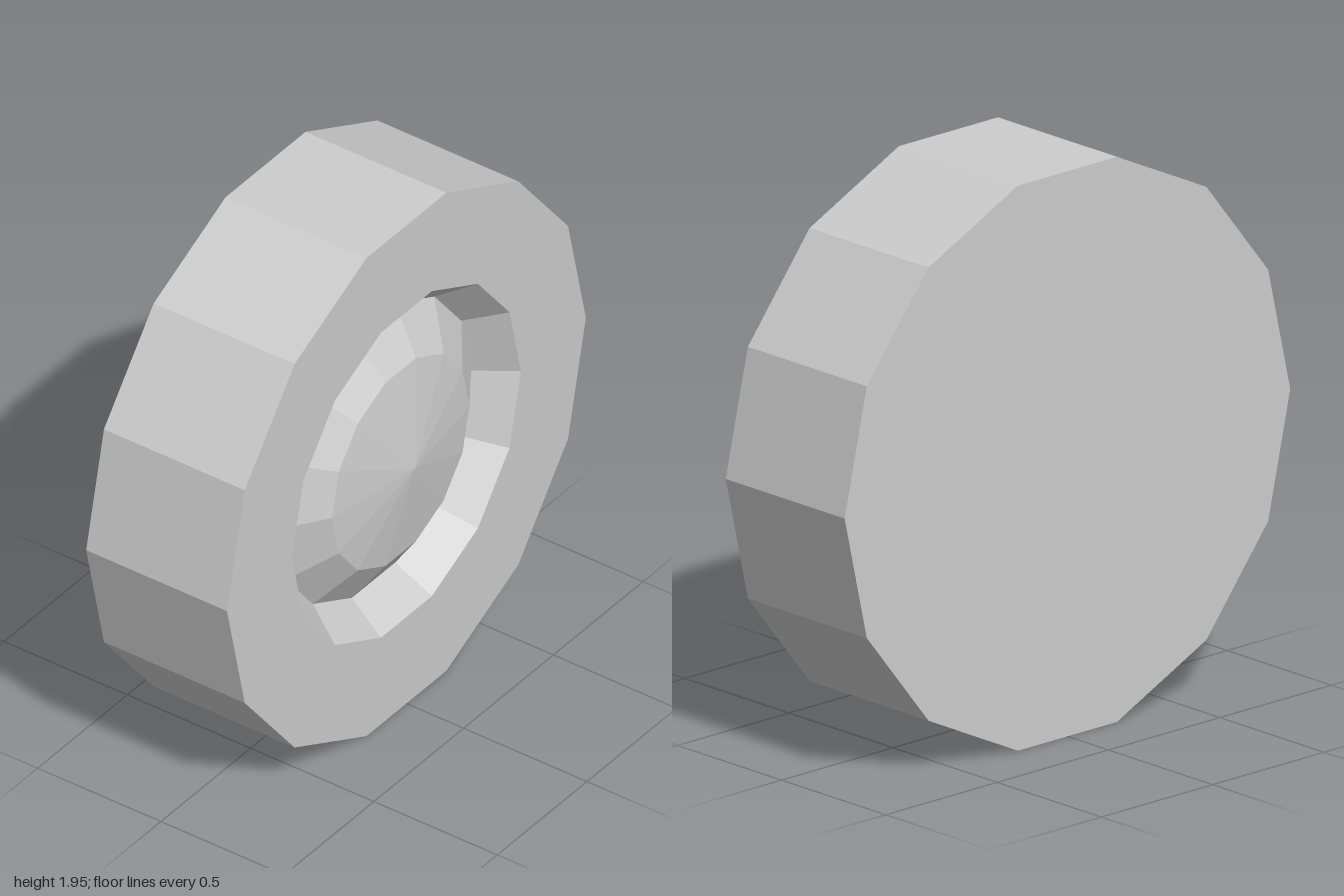
import * as THREE from 'three';

const SIDES = 14;
const RADIUS = 1;
const FACE = 0.268; // x of the outer side face
const BACK = -0.303; // x of the closed side

export function createModel() {
  const grey = new THREE.MeshStandardMaterial({ color: 0xcccccc, flatShading: true });
  grey.name = 'light grey';

  const wheel = new THREE.Group();
  wheel.name = 'wheel';

  // Revolves [radius, x] pairs, listed from the closed side outwards
  const addTurned = (name, profile) => {
    const points = profile.map(([r, x]) => new THREE.Vector2(r, x));
    const geometry = new THREE.LatheGeometry(points, SIDES);
    geometry.rotateZ(-Math.PI / 2); // turning axis along x
    const mesh = new THREE.Mesh(geometry, grey);
    mesh.name = name;
    wheel.add(mesh);
  };

  // Closed back, tread and outer side face
  addTurned('tyre', [[0, BACK], [RADIUS, BACK], [RADIUS, FACE], [0.638, FACE]]);

  // Sloping wall of the recess
  addTurned('rim', [[0.638, FACE], [0.543, 0.135]]);

  // Faceted dome that rises just past the side face
  addTurned('hubCap', [[0.543, 0.135], [0.383, 0.245], [0, 0.303]]);

  // Rest the lowest flat on the ground
  wheel.position.y = RADIUS * Math.cos(Math.PI / SIDES);

  const model = new THREE.Group();
  model.name = 'wheelModel';
  model.add(wheel);
  return model;
}
